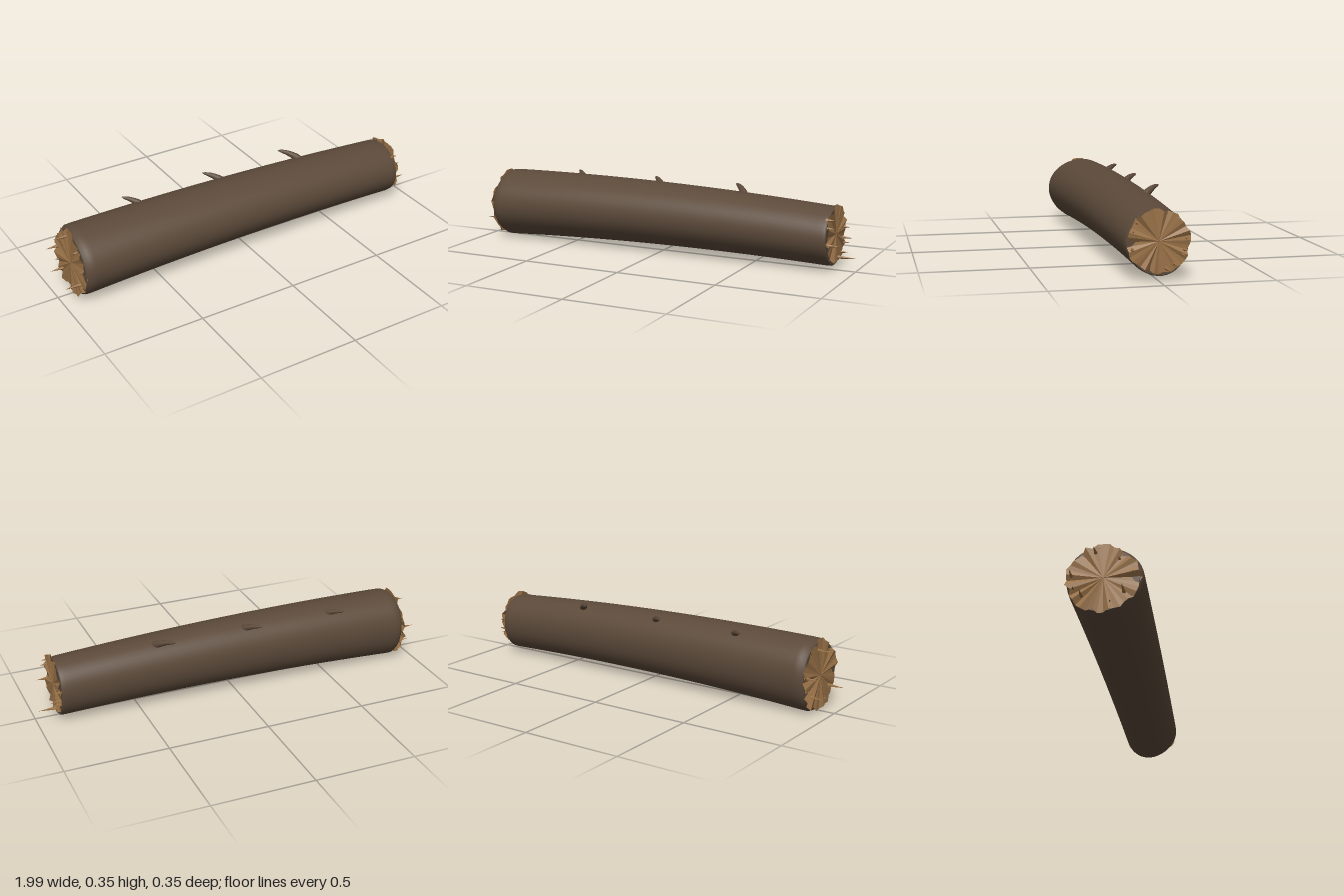
import * as THREE from 'three';
import { mergeVertices } from 'three/addons/utils/BufferGeometryUtils.js';

const X0 = -0.915, X1 = 0.893;

// slightly three-lobed, tapering, gently arched trunk section
const centreY = x => 0.195 - 0.0072 * x - 0.0265 * x * x;
const radius = (x, a) => {
  const left = Math.max(0, (-0.885 - x) / 0.03), right = Math.max(0, (x - 0.88) / 0.013);
  const rounding = 1 - 0.1 * left * left - 0.04 * right * right;
  return (0.157 - 0.0172 * x) * rounding * (1 + 0.03 * Math.cos(3 * (a - 0.17)));
};

function seeded(seed) {
  return () => {
    seed = (seed * 16807) % 2147483647;
    return seed / 2147483647;
  };
}

// triangle fan closing one end; rim(a, i) returns [x, radius]
function fan(centre, n, rim) {
  const ring = [], pos = [];
  for (let i = 0; i < n; i++) {
    const a = (i / n) * Math.PI * 2, [x, r] = rim(a, i);
    ring.push([x, centre[1] + r * Math.sin(a), centre[2] + r * Math.cos(a)]);
  }
  for (let i = 0; i < n; i++) {
    const p = ring[i], q = ring[(i + 1) % n];
    pos.push(...centre, ...(centre[0] > 0 ? [...q, ...p] : [...p, ...q]));
  }
  const g = new THREE.BufferGeometry();
  g.setAttribute('position', new THREE.Float32BufferAttribute(pos, 3));
  g.computeVertexNormals();
  return g;
}

export function createModel() {
  const group = new THREE.Group();
  const bark = new THREE.MeshStandardMaterial({ color: 0x5c4a3a });
  bark.name = 'bark';
  const wood = new THREE.MeshStandardMaterial({ color: 0x9b7348, flatShading: true, side: THREE.DoubleSide });
  wood.name = 'splitWood';
  const add = (name, geometry, material) => {
    const m = new THREE.Mesh(geometry, material);
    m.name = name;
    group.add(m);
    return m;
  };

  // trunk: an open cylinder laid along x and reshaped, rings closer at the ends
  let trunk = new THREE.CylinderGeometry(1, 1, 2, 48, 28, true).rotateZ(-Math.PI / 2);
  const p = trunk.attributes.position;
  for (let i = 0; i < p.count; i++) {
    const t = Math.sin(p.getX(i) * Math.PI / 2);
    const x = (X0 + X1) / 2 + t * (X1 - X0) / 2;
    const a = Math.atan2(p.getY(i), p.getZ(i)), r = radius(x, a);
    p.setXYZ(i, x, centreY(x) + r * Math.sin(a), r * Math.cos(a));
  }
  trunk.deleteAttribute('uv');
  trunk.deleteAttribute('normal');
  trunk = mergeVertices(trunk, 1e-5);
  trunk.computeVertexNormals();
  add('trunk', trunk, bark);

  // bark-coloured end discs, with jagged broken wood in front of them
  for (const [name, x] of [['rightEnd', X0], ['leftEnd', X1]]) {
    const s = Math.sign(x), rnd = seeded(s > 0 ? 71 : 29);
    add(name + 'Disc', fan([x, centreY(x), 0], 48, a => [x, radius(x, a)]), bark);
    const core = [x + s * 0.008, s > 0 ? 0.18 : 0.178, 0];
    const [rMin, rVar] = s > 0 ? [0.131, 0.016] : [0.15, 0.026];
    add(name + 'BrokenWood', fan(core, 40, () => [
      x + s * (-0.003 + 0.022 * rnd()), rMin + rVar * rnd()
    ]), wood);
  }

  // splinters: [y, z, tip x]
  const splinters = [
    [0.262, 0.095, 0.925], [0.227, 0.113, 0.93], [0.148, 0.118, 0.955], [0.19, -0.123, 0.93],
    [0.14, -0.115, 0.945], [0.118, -0.107, 0.935], [0.08, -0.068, 0.945], [0.062, -0.032, 0.99],
    [0.305, -0.035, -0.985], [0.195, -0.14, -0.985], [0.105, 0.09, -1], [0.095, -0.095, -0.99],
    [0.27, 0.07, -0.94], [0.13, -0.13, -0.95], [0.06, 0.03, -0.945], [0.2, 0.13, -0.94]
  ];
  for (const [y, z, tip] of splinters) {
    const s = Math.sign(tip), base = s > 0 ? 0.88 : -0.9, len = Math.abs(tip - base);
    const g = new THREE.ConeGeometry(0.011, len, 5).rotateZ(-s * Math.PI / 2);
    add('splinter', g, wood).position.set(base + s * len / 2, y, z);
  }

  // three curved, tapering twig stubs along the upper back
  const path = new THREE.CatmullRomCurve3([
    new THREE.Vector3(0.42, 0.3, -0.045), new THREE.Vector3(0.395, 0.326, -0.08),
    new THREE.Vector3(0.362, 0.343, -0.115), new THREE.Vector3(0.328, 0.35, -0.15)
  ]);
  const stub = new THREE.TubeGeometry(path, 10, 1, 10, false);
  const q = stub.attributes.position, v = new THREE.Vector3();
  for (let i = 0; i < q.count; i++) {
    const t = Math.floor(i / 11) / 10, c = path.getPointAt(t);
    const r = 0.021 * Math.sqrt(1 - t * t) * (1 - 0.35 * t);
    v.fromBufferAttribute(q, i).sub(c).multiplyScalar(r).add(c);
    q.setXYZ(i, v.x, v.y, v.z);
  }
  for (let i = 0; i < 3; i++) add('twigStub', stub, bark).position.x = -0.45 * i;

  return group;
}
